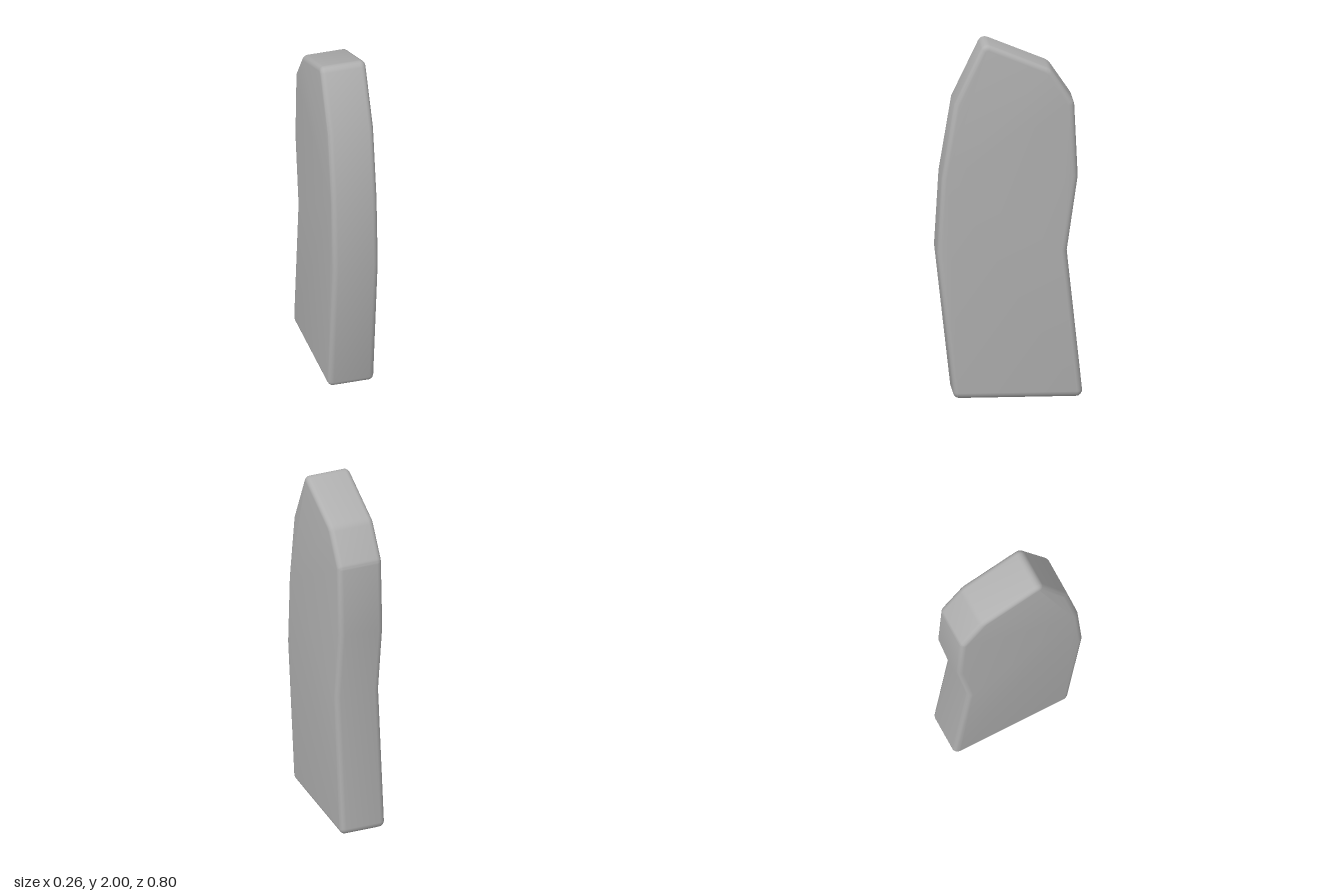
import * as THREE from 'three';
import { toCreasedNormals } from 'three/addons/utils/BufferGeometryUtils.js';

// Side outline as [z, y, corner radius], from the bottom front corner up and round to the back
const OUTLINE = [
  [0.31, 0, 0.035], [0.403, 0.83, 0], [0.378, 1.25, 0], [0.308, 1.67, 0],
  [0.143, 2.014, 0.04], [-0.227, 1.862, 0.08], [-0.357, 1.67, 0.06],
  [-0.377, 1.25, 0], [-0.316, 0.83, 0], [-0.405, 0, 0.035],
];

// Closed counter-clockwise shape with arc-rounded corners
function roundedShape(outline) {
  const points = [];
  const n = outline.length;
  const at = (i) => new THREE.Vector2(...outline[(i + n) % n].slice(0, 2));
  for (let i = 0; i < n; i++) {
    const p = at(i);
    const r = outline[i][2];
    if (!r) { points.push(p); continue; }
    const dirIn = p.clone().sub(at(i - 1)).normalize();
    const dirOut = at(i + 1).sub(p).normalize();
    const turn = Math.acos(dirIn.dot(dirOut));
    const inward = new THREE.Vector2(-dirIn.y, dirIn.x);
    const centre = p.clone().addScaledVector(dirIn, -r * Math.tan(turn / 2)).addScaledVector(inward, r);
    const start = Math.atan2(-inward.y, -inward.x);
    const steps = 4;
    for (let k = 0; k <= steps; k++) {
      const a = start + (turn * k) / steps;
      points.push(new THREE.Vector2(centre.x + r * Math.cos(a), centre.y + r * Math.sin(a)));
    }
  }
  return new THREE.Shape(points);
}

export function createModel() {
  const group = new THREE.Group();
  group.name = 'curvedSlab';
  const grey = new THREE.MeshStandardMaterial({ color: 0xb0b0b0 });
  grey.name = 'grey';

  // Slab extruded across the width, with softly rounded rims
  const width = 0.262;
  const bevel = 0.03;
  const geometry = new THREE.ExtrudeGeometry(roundedShape(OUTLINE), {
    depth: width - 2 * bevel,
    bevelEnabled: true,
    bevelThickness: bevel,
    bevelSize: bevel,
    bevelOffset: -bevel,
    bevelSegments: 4,
  });
  geometry.translate(0, 0, bevel - width / 2);
  geometry.rotateY(-Math.PI / 2);

  const body = new THREE.Mesh(toCreasedNormals(geometry, 0.6), grey);
  body.name = 'body';
  group.add(body);
  return group;
}
